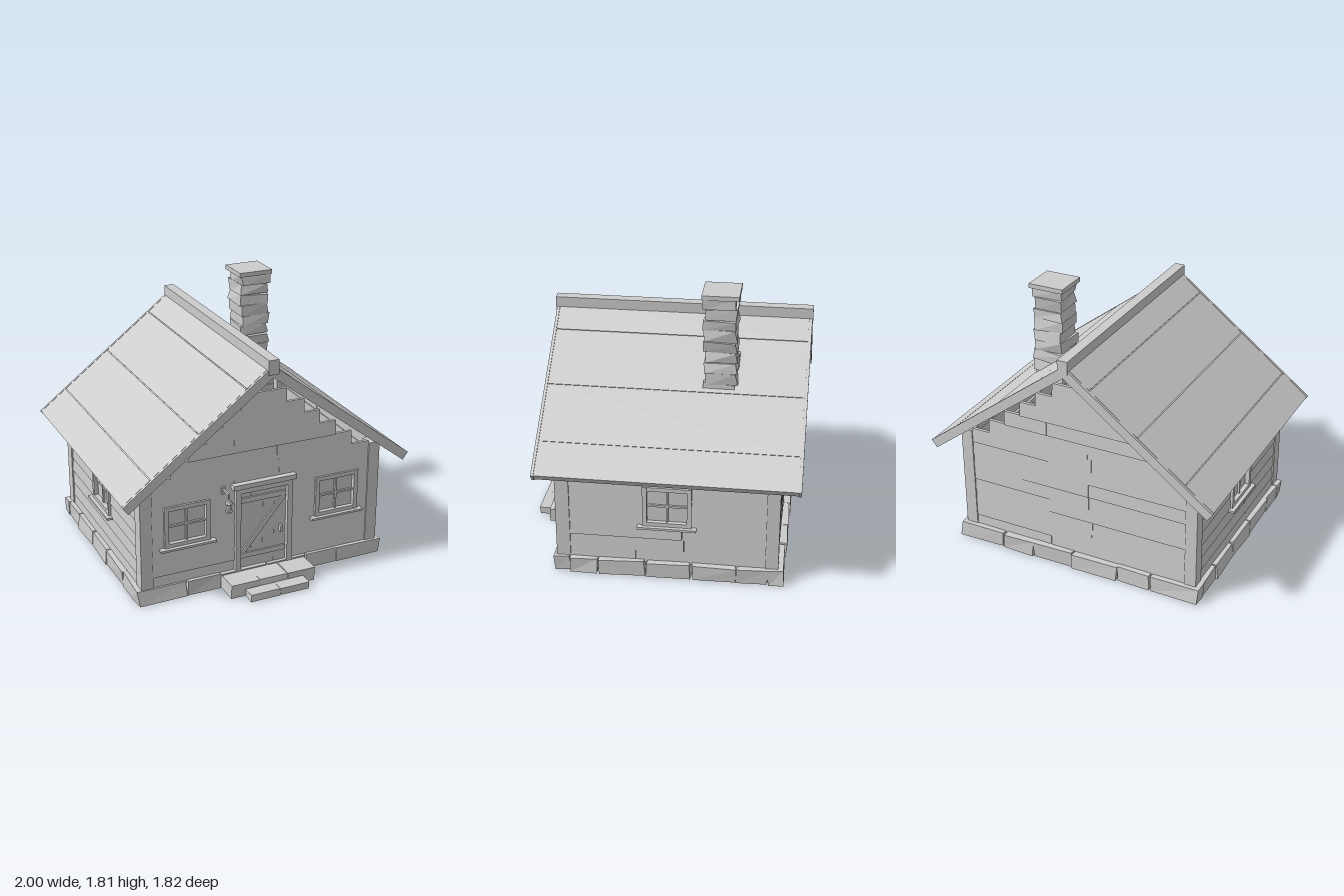
import * as THREE from 'three';

const grey = new THREE.MeshStandardMaterial({ color: 0xcccccc });
grey.name = 'plain grey';

let seed = 7;
const rand = () => (seed = (seed * 16807) % 2147483647) / 2147483647;
const jit = a => (rand() * 2 - 1) * a;

function group(parent, name, x = 0, y = 0, z = 0, ry = 0) {
  const g = new THREE.Group();
  g.name = name;
  g.position.set(x, y, z);
  g.rotation.y = ry;
  parent.add(g);
  return g;
}

function mesh(parent, name, geo) {
  const m = new THREE.Mesh(geo, grey);
  m.name = name;
  parent.add(m);
  return m;
}

// box given by its minimum and maximum on each axis
function box(parent, name, x0, x1, y0, y1, z0, z1) {
  const m = mesh(parent, name, new THREE.BoxGeometry(x1 - x0, y1 - y0, z1 - z0));
  m.position.set((x0 + x1) / 2, (y0 + y1) / 2, (z0 + z1) / 2);
  return m;
}

// rough-hewn block: each of the eight corners is nudged a little
function stone(parent, name, x0, x1, y0, y1, z0, z1, j, jy = j * 0.4) {
  const m = box(parent, name, x0, x1, y0, y1, z0, z1);
  const geo = m.geometry.toNonIndexed();
  const nudge = Array.from({ length: 8 }, () => [jit(j), jit(jy), jit(j)]);
  const p = geo.attributes.position;
  for (let i = 0; i < p.count; i++) {
    const x = p.getX(i), y = p.getY(i), z = p.getZ(i);
    const n = nudge[(x > 0 ? 1 : 0) + (y > 0 ? 2 : 0) + (z > 0 ? 4 : 0)];
    p.setXYZ(i, x + n[0], y + n[1], z + n[2]);
  }
  geo.computeVertexNormals();
  m.geometry = geo;
  return m;
}

// weatherboard courses; each wall faces local +z with its face at z = 0
const PITCH = 0.095, FIRST = 0.175;
const GABLE = [0.64, 0.52, 0.4, 0.285, 0.16];

function boardWall(parent, name, half, openings, gable) {
  const wall = group(parent, name);
  const rows = [[0.09, FIRST, half]];
  for (let i = 0; i < 7; i++) rows.push([FIRST + i * PITCH, FIRST + (i + 1) * PITCH, half]);
  if (gable) GABLE.forEach((w, i) => rows.push([0.84 + i * PITCH, 0.84 + (i + 1) * PITCH, w]));
  rows.forEach(([y0, y1, w], r) => {
    // solid runs between the openings
    const mid = (y0 + y1) / 2;
    let start = -w;
    const runs = [];
    for (const [a, b, lo, hi] of openings) {
      if (mid < lo || mid > hi) continue;
      runs.push([start, a]);
      start = b;
    }
    runs.push([start, w]);
    for (const [a, b] of runs) {
      const cuts = [a, b];
      if (b - a > 0.9) cuts.splice(1, 0, 0.1 + jit(0.015) - (r % 3 === 0 ? 0.3 : 0));
      for (let i = 0; i + 1 < cuts.length; i++) {
        const m = box(wall, 'weatherboard', cuts[i] + 0.001, cuts[i + 1] - 0.001, y0, y1 + 0.004, -0.03, -0.006);
        m.rotation.x = -0.07;
        m.position.z += jit(0.0015);
        m.rotation.z = jit(0.0015);
      }
    }
  });
  return wall;
}

// four-pane window centred on x, with a sill
function addWindow(wall, x) {
  const w = group(wall, 'window', x, 0.515, 0);
  for (const s of [-1, 1]) {
    box(w, 'windowJamb', s * 0.1425 - 0.0145, s * 0.1425 + 0.0145, -0.142, 0.142, -0.045, 0.012);
    box(w, 'windowRail', -0.13, 0.13, s * 0.128 - 0.014, s * 0.128 + 0.014, -0.045, 0.011);
  }
  box(w, 'glazing', -0.13, 0.13, -0.115, 0.115, -0.026, -0.018);
  box(w, 'verticalBar', -0.007, 0.007, -0.115, 0.115, -0.032, -0.004);
  box(w, 'horizontalBar', -0.13, 0.13, -0.007, 0.007, -0.032, -0.005);
  box(w, 'windowSill', -0.19, 0.19, -0.155, -0.14, -0.045, 0.036);
}

function addDoor(wall) {
  const d = group(wall, 'door');
  for (const s of [-1, 1]) box(d, 'doorPost', s * 0.184 - 0.018, s * 0.184 + 0.018, 0.09, 0.66, -0.04, 0.02);
  box(d, 'doorHeader', -0.202, 0.202, 0.655, 0.697, -0.04, 0.02);
  box(d, 'doorLintel', -0.225, 0.222, 0.693, 0.726, -0.02, 0.034);
  for (let i = 0; i < 4; i++) {
    const x = -0.166 + i * 0.083;
    box(d, 'doorPlank', x, x + 0.0825, 0.1, 0.655, -0.03, -0.008);
  }
  box(d, 'lowerLedge', -0.16, 0.16, 0.18, 0.215, -0.01, 0.004);
  box(d, 'upperLedge', -0.16, 0.16, 0.578, 0.614, -0.01, 0.004);
  const brace = box(d, 'diagonalBrace', -0.235, 0.235, -0.016, 0.016, -0.01, 0.003);
  brace.position.set(0, 0.397, -0.0035);
  brace.rotation.z = Math.atan2(0.36, 0.3);
  box(d, 'doorHandle', 0.117, 0.133, 0.322, 0.366, -0.01, 0.018);
}

function addLantern(parent) {
  const l = group(parent, 'lantern', -0.285, 0, 0.65);
  box(l, 'wallPlate', -0.012, 0.012, 0.675, 0.725, -0.01, 0.008);
  box(l, 'bracketArm', -0.006, 0.006, 0.699, 0.711, 0, 0.094);
  const body = mesh(l, 'lanternBody', new THREE.LatheGeometry([
    [0, 0.588], [0.026, 0.588], [0.026, 0.597], [0.018, 0.6], [0.018, 0.642],
    [0.027, 0.646], [0.01, 0.668], [0.005, 0.672], [0.005, 0.702], [0, 0.702],
  ].map(p => new THREE.Vector2(...p)), 8).toNonIndexed());
  body.geometry.computeVertexNormals();
  body.position.z = 0.088;
}

// one roof slope; local x runs down from the ridge, y is the outer face
function addSlope(parent, side) {
  const turn = group(parent, side > 0 ? 'leftSlope' : 'rightSlope', 0, 1.53, 0);
  if (side < 0) turn.rotation.y = Math.PI;
  const s = group(turn, 'slope');
  s.rotation.z = -Math.atan(0.76);
  const k = 1.256, front = 0.765, back = -0.91;
  const z0 = side > 0 ? back : -front, z1 = side > 0 ? front : -back;
  box(s, 'roofDeck', 0, k - 0.004, -0.058, -0.006, z0 + 0.01, z1 - 0.01);
  const seams = [0, 0.17, 0.49, 0.81, 1];
  for (let i = 0; i < 4; i++) {
    box(s, 'roofBoard', seams[i] * k + 0.003, seams[i + 1] * k - 0.003, -0.02, jit(0.001), z0 + 0.021, z1 - 0.021);
  }
  for (const z of [z0, z1 - 0.018]) box(s, 'bargeBoard', 0, k, -0.061, 0.001, z, z + 0.018);
}

export function createModel() {
  const house = new THREE.Group();
  house.name = 'cabin';

  // walls
  const opening = (x, w = 0.14) => [x - w, x + w, 0.36, 0.66];
  const front = boardWall(house, 'frontWall', 0.77, [opening(-0.533), [-0.18, 0.18, 0, 0.66], opening(0.533)], true);
  front.position.z = 0.65;
  addWindow(front, -0.533);
  addWindow(front, 0.533);
  addDoor(front);
  const back = boardWall(house, 'backWall', 0.77, [], true);
  back.position.z = -0.78;
  back.rotation.y = Math.PI;
  for (const s of [-1, 1]) {
    const side = boardWall(house, s > 0 ? 'leftWall' : 'rightWall', 0.632, [opening(0)], false);
    side.position.set(s * 0.847, 0, -0.067);
    side.rotation.y = s * Math.PI / 2;
    addWindow(side, 0);
    // corner posts
    const a = s * 0.81;
    box(house, 'frontCornerPost', a - 0.04, a + 0.04, 0.09, 0.83, 0.562, 0.652);
    box(house, 'backCornerPost', a - 0.04, a + 0.04, 0.09, 0.83, -0.782, -0.698);
  }
  addLantern(house);

  // foundation ring of rough stones
  const base = group(house, 'foundation');
  const runX = [-0.88, -0.54, -0.31, 0.02, 0.31, 0.545, 0.88];
  const runZ = [-0.72, -0.51, -0.225, 0.07, 0.38, 0.57];
  for (let i = 0; i + 1 < runX.length; i++) {
    for (const [z0, z1] of [[0.565, 0.665], [-0.818, -0.718]]) {
      stone(base, 'foundationStone', runX[i] + 0.004, runX[i + 1] - 0.004, 0.004, 0.108, z0, z1, 0.009);
    }
  }
  for (let i = 0; i + 1 < runZ.length; i++) {
    for (const x of [-0.88, 0.78]) {
      stone(base, 'foundationStone', x, x + 0.1, 0.004, 0.108, runZ[i] + 0.004, runZ[i + 1] - 0.004, 0.009);
    }
  }

  // steps
  const steps = group(house, 'steps');
  [-0.305, -0.1, 0.1, 0.3].forEach((x, i, xs) => {
    if (i < 3) stone(steps, 'upperStep', x + 0.002, xs[i + 1] - 0.002, 0.005, 0.097, 0.64, 0.82, 0.004);
  });
  stone(steps, 'lowerStep', -0.203, 0.003, 0.005, 0.054, 0.81, 0.908, 0.003);
  stone(steps, 'lowerStep', 0.005, 0.21, 0.005, 0.054, 0.81, 0.908, 0.003);

  // roof
  const roof = group(house, 'roof');
  addSlope(roof, 1);
  addSlope(roof, -1);
  box(roof, 'ridgeBeam', -0.035, 0.035, 1.475, 1.572, -0.914, 0.772);

  // chimney of stacked uneven courses
  const chimney = group(house, 'chimney');
  const courses = 9, h = 0.65 / courses;
  for (let i = 0; i < courses; i++) {
    const y = 1.135 + i * h, dx = jit(0.008), dz = jit(0.008);
    stone(chimney, 'chimneyCourse', 0.266 + dx, 0.466 + dx, y, y + h, -0.452 + dz, -0.252 + dz, 0.013, 0.008);
  }
  box(chimney, 'chimneyCap', 0.242, 0.482, 1.78, 1.81, -0.468, -0.234);

  return house;
}
